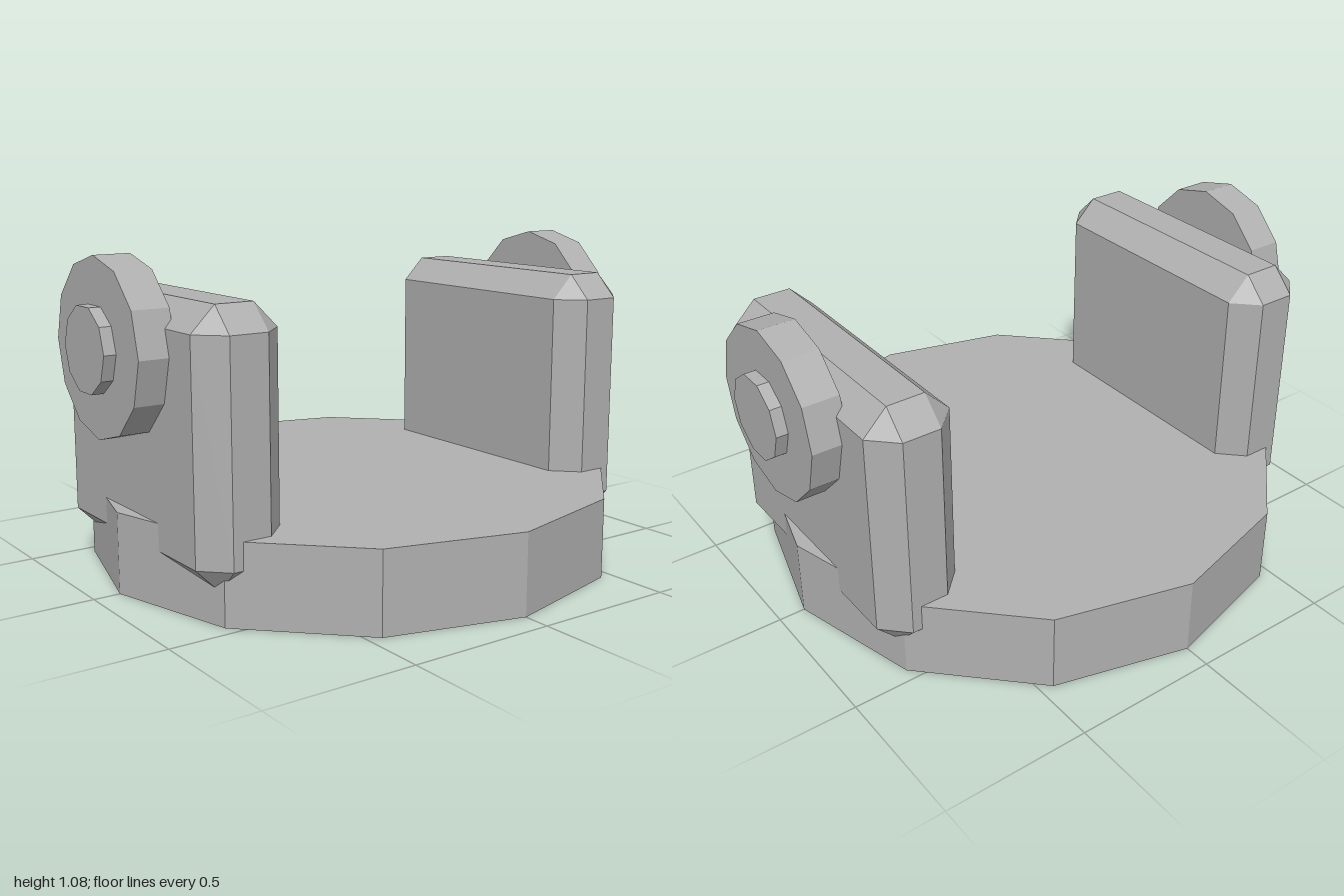
import * as THREE from 'three';
import { ConvexGeometry } from 'three/addons/geometries/ConvexGeometry.js';

// Box with every edge cut by a flat bevel, given half sizes
function bevelledBox(hx, hy, hz, b) {
  const points = [];
  for (const sx of [-1, 1]) for (const sy of [-1, 1]) for (const sz of [-1, 1]) {
    points.push(
      new THREE.Vector3(sx * hx, sy * (hy - b), sz * (hz - b)),
      new THREE.Vector3(sx * (hx - b), sy * hy, sz * (hz - b)),
      new THREE.Vector3(sx * (hx - b), sy * (hy - b), sz * hz),
    );
  }
  return new ConvexGeometry(points);
}

export function createModel() {
  const grey = new THREE.MeshStandardMaterial({ color: 0xb0b0b0, flatShading: true });
  grey.name = 'grey';

  const model = new THREE.Group();
  model.name = 'pivotMount';

  const add = (parent, name, geometry, x, y) => {
    const mesh = new THREE.Mesh(geometry, grey);
    mesh.name = name;
    mesh.position.set(x, y, 0);
    parent.add(mesh);
  };

  // Disc lying across x, from x0 to x1
  const disc = (parent, name, radius, sides, x0, x1, y) => {
    const geometry = new THREE.CylinderGeometry(radius, radius, Math.abs(x1 - x0), sides);
    geometry.rotateZ(-Math.PI / 2);
    add(parent, name, geometry, (x0 + x1) / 2, y);
  };

  // Twelve-sided base plate
  add(model, 'base', new THREE.CylinderGeometry(0.91, 0.91, 0.27, 12), 0, 0.135);

  // Upright arm with pivot disc and pin on each side
  for (const [label, s] of [['left', 1], ['right', -1]]) {
    const side = new THREE.Group();
    side.name = label + 'Arm';
    add(side, label + 'Upright', bevelledBox(0.147, 0.432, 0.497, 0.082), s * 0.714, 0.531);
    disc(side, label + 'PivotDisc', 0.286, 12, s * 0.835, s * 0.96, 0.797);
    disc(side, label + 'PivotPin', 0.14, 10, s * 0.93, s * 1.0, 0.797);
    model.add(side);
  }
  return model;
}
